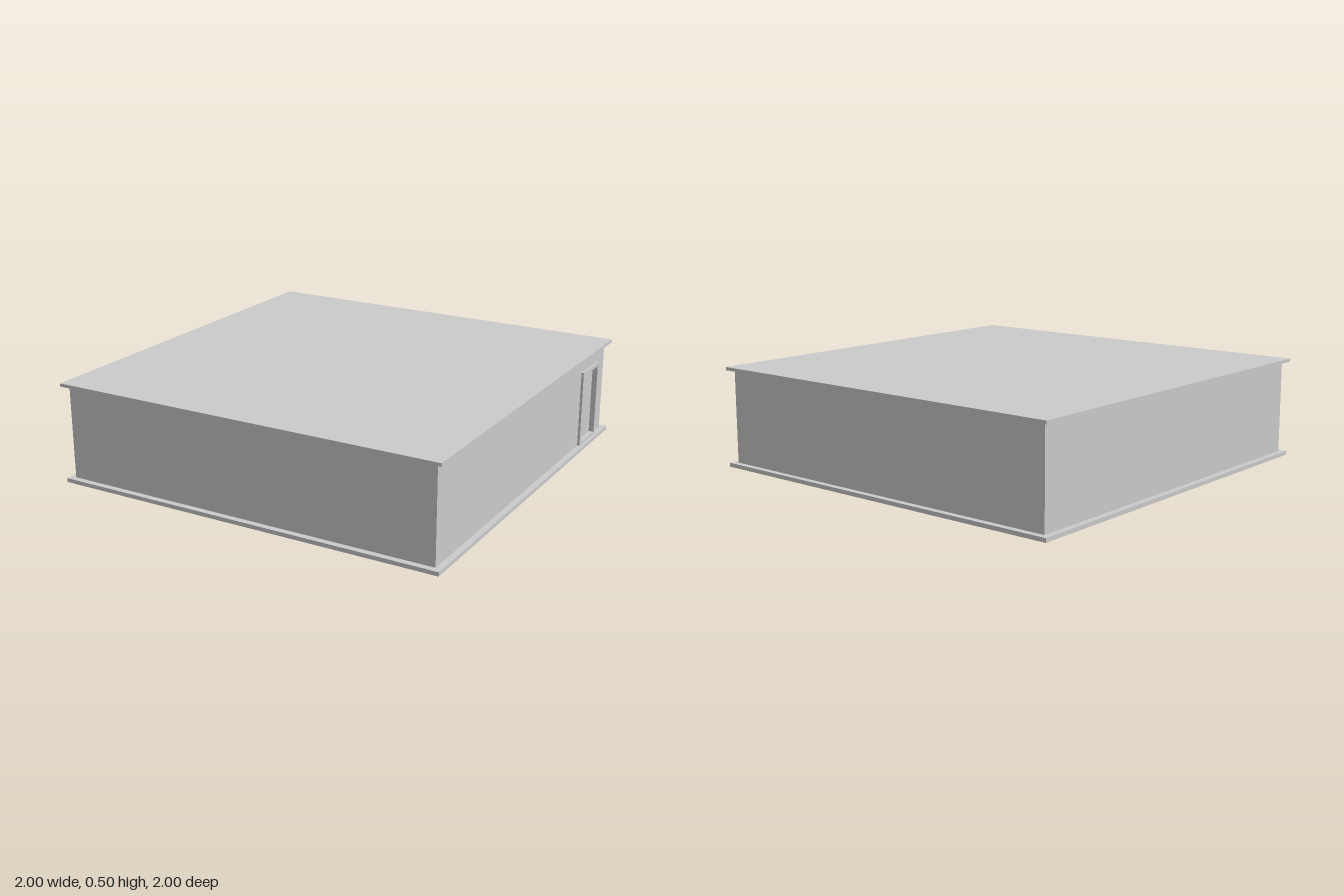
import * as THREE from 'three';

const material = new THREE.MeshStandardMaterial({ color: 0xcccccc, flatShading: true });

// Box given by its min and max corners
function box(name, [x0, y0, z0], [x1, y1, z1]) {
  const mesh = new THREE.Mesh(new THREE.BoxGeometry(x1 - x0, y1 - y0, z1 - z0), material);
  mesh.name = name;
  mesh.position.set((x0 + x1) / 2, (y0 + y1) / 2, (z0 + z1) / 2);
  return mesh;
}

function rectangle(Type, x0, y0, x1, y1) {
  return new Type([[x0, y0], [x1, y0], [x1, y1], [x0, y1]].map(p => new THREE.Vector2(...p)));
}

// Upright panel with an opening, facing +x; outlines are [-z, y] rectangles
function panelWithOpening(name, outer, opening, x, depth) {
  const shape = rectangle(THREE.Shape, ...outer);
  shape.holes.push(rectangle(THREE.Path, ...opening));
  const geometry = new THREE.ExtrudeGeometry(shape, { depth, bevelEnabled: false });
  geometry.rotateY(Math.PI / 2);
  const mesh = new THREE.Mesh(geometry, material);
  mesh.name = name;
  mesh.position.x = x;
  return mesh;
}

export function createModel() {
  const group = new THREE.Group();
  group.name = 'building';
  const W = 0.97, T = 0.03, floorTop = 0.02, roofBase = 0.486;
  const opening = [0.67, 0.03, 0.855, 0.392];

  // Slabs overhanging the walls
  group.add(box('floorSlab', [-1, 0, -1], [1, floorTop, 1]));
  group.add(box('roofSlab', [-1, roofBase, -1], [1, 0.502, 1]));

  // Walls
  group.add(box('frontWall', [-W, floorTop, W - T], [W, roofBase, W]));
  group.add(box('backWall', [-W, floorTop, -W], [W, roofBase, -W + T]));
  group.add(box('rightWall', [-W, floorTop, -W + T], [-W + T, roofBase, W - T]));
  group.add(panelWithOpening('leftWall', [-W + T, floorTop, W - T, roofBase], opening, W - T, T));

  // Door set back inside a raised frame
  group.add(panelWithOpening('doorFrame', [0.65, floorTop, 0.873, 0.412], opening, W, 0.012));
  group.add(box('door', [W - T - 0.01, 0.025, -0.86], [W - 0.015, 0.397, -0.665]));
  return group;
}
